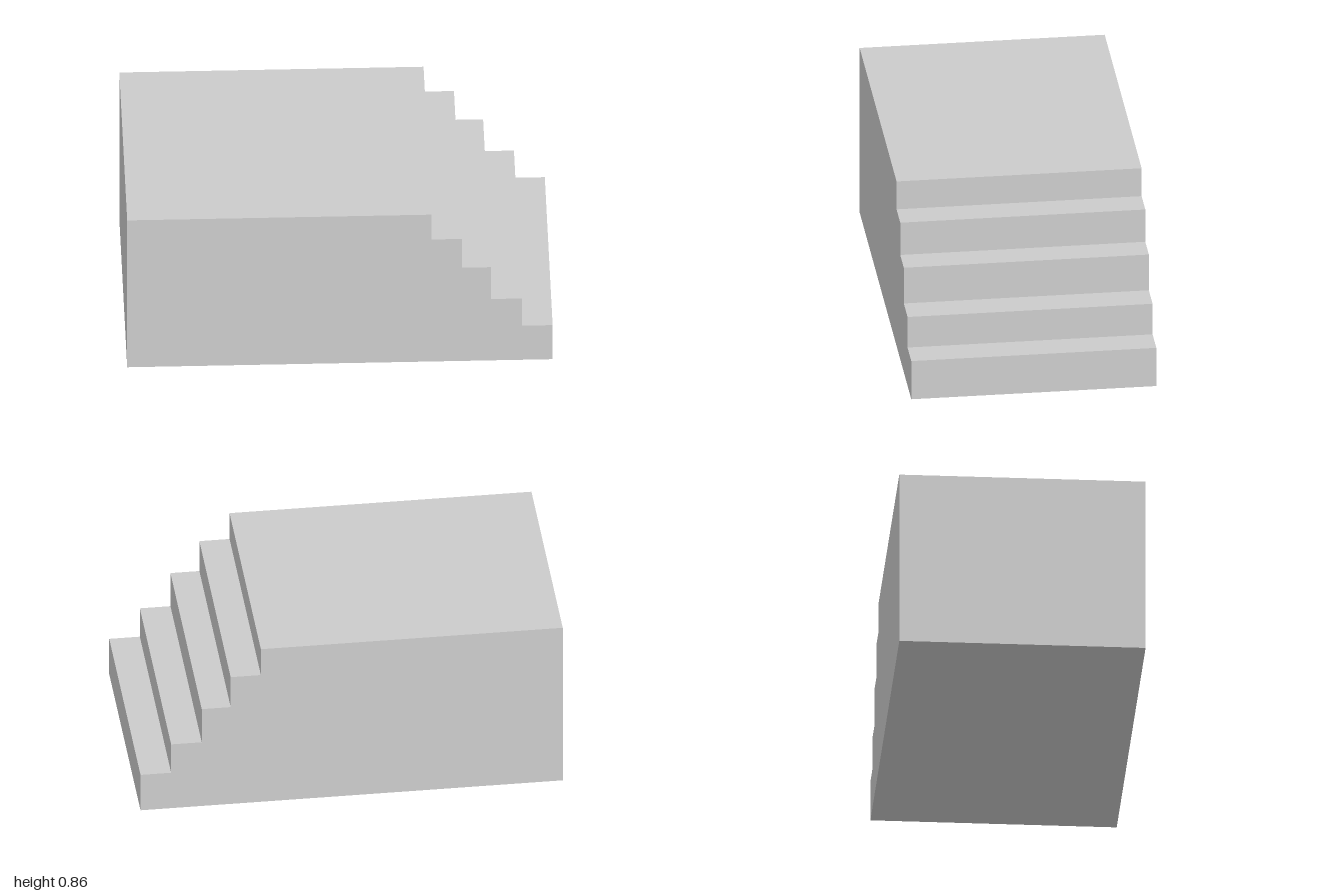
import * as THREE from 'three';

const DEPTH = 1.16;

// Right edge and height of each tread, from the bottom step to the platform
const TREADS = [
  [1.0, 0.2],
  [0.855, 0.36],
  [0.71, 0.547],
  [0.573, 0.716],
  [0.43, 0.862],
];

export function createModel() {
  const group = new THREE.Group();
  group.name = 'steppedPlatform';

  // Side profile: flat base, stairs climbing on the right, straight left wall
  const profile = new THREE.Shape();
  profile.moveTo(-1, 0);
  let height = 0;
  for (const [x, top] of TREADS) {
    profile.lineTo(x, height);
    profile.lineTo(x, top);
    height = top;
  }
  profile.lineTo(-1, height);
  profile.closePath();

  // Solid block swept through the full depth
  const geometry = new THREE.ExtrudeGeometry(profile, { depth: DEPTH, bevelEnabled: false });
  geometry.translate(0, 0, -DEPTH / 2);

  const material = new THREE.MeshStandardMaterial({ color: 0xcccccc, flatShading: true });
  const block = new THREE.Mesh(geometry, material);
  block.name = 'platformWithSteps';
  group.add(block);

  return group;
}
